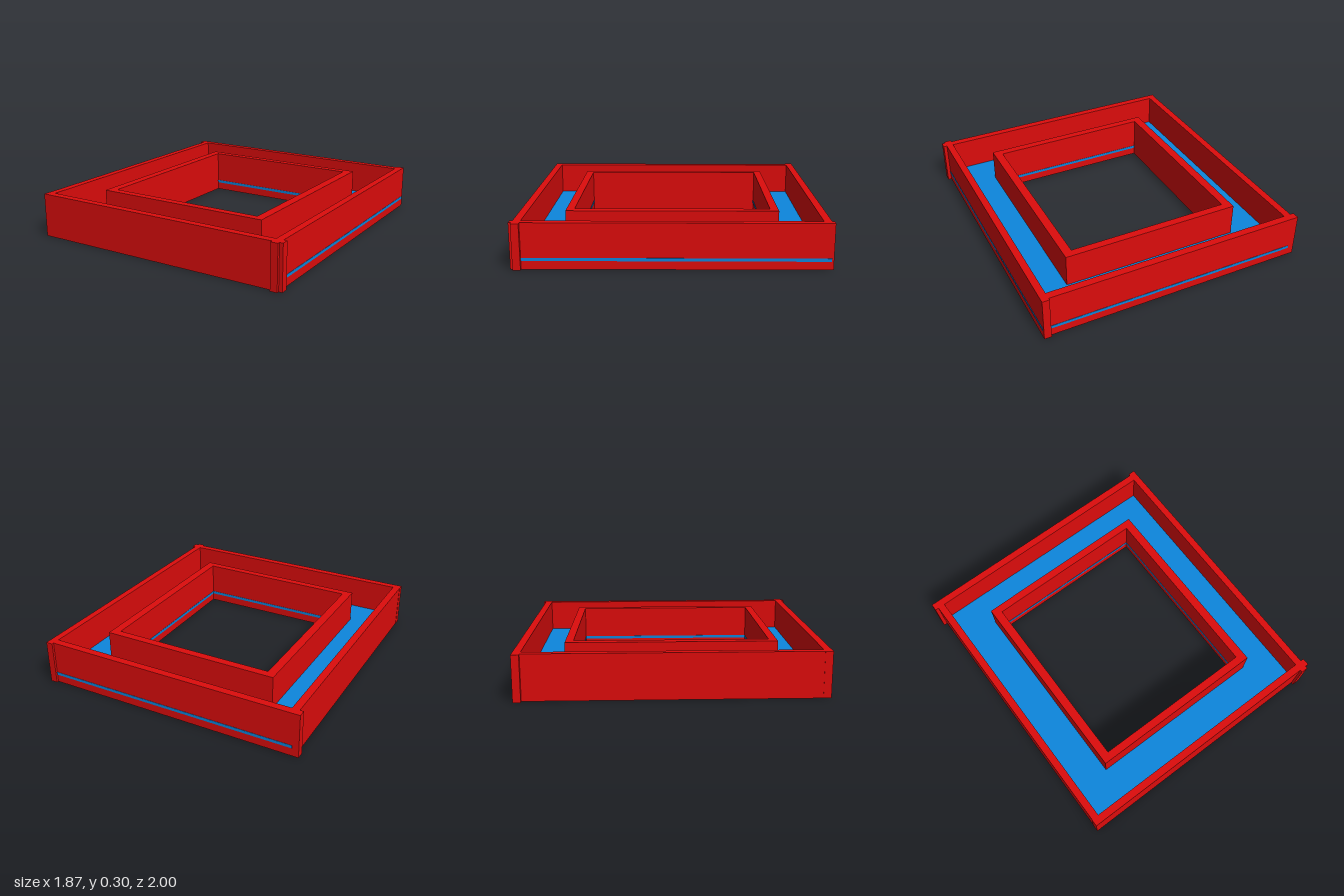
import * as THREE from 'three';

export function createModel() {
  const group = new THREE.Group();
  const red = new THREE.MeshStandardMaterial({ color: 0xdd0c0c });
  const blue = new THREE.MeshStandardMaterial({ color: 0x0d86dd });
  const height = 0.3;

  // Upright board given by its footprint on the ground
  function wall(name, x0, x1, z0, z1) {
    const mesh = new THREE.Mesh(new THREE.BoxGeometry(x1 - x0, height, z1 - z0), red);
    mesh.position.set((x0 + x1) / 2, height / 2, (z0 + z1) / 2);
    mesh.name = name;
    group.add(mesh);
  }

  // Outer frame, boards overshooting at the corners
  wall('outerBackWall', -0.935, 0.87, -0.985, -0.935);
  wall('outerFrontWall', -0.912, 0.932, 0.932, 0.982);
  wall('outerLeftWall', -0.91, -0.86, -0.935, 0.932);
  wall('outerRightWall', 0.86, 0.908, -1, 1);

  // Inner frame around the opening
  wall('innerLeftWall', -0.62, -0.56, -0.69, 0.69);
  wall('innerRightWall', 0.563, 0.623, -0.69, 0.69);
  wall('innerBackWall', -0.56, 0.563, -0.69, -0.637);
  wall('innerFrontWall', -0.56, 0.563, 0.637, 0.69);

  // Thin floor ring; its edges show as a strip through some of the walls
  const rect = (path, x0, x1, z0, z1) => path
    .moveTo(x0, -z1).lineTo(x1, -z1).lineTo(x1, -z0).lineTo(x0, -z0).closePath();
  const shape = new THREE.Shape();
  rect(shape, -0.89, 0.91, -0.987, 0.96);
  const hole = new THREE.Path();
  rect(hole, -0.59, 0.561, -0.635, 0.635);
  shape.holes.push(hole);
  const geometry = new THREE.ExtrudeGeometry(shape, { depth: 0.02, bevelEnabled: false });
  geometry.rotateX(-Math.PI / 2);
  const floor = new THREE.Mesh(geometry, blue);
  floor.position.y = 0.055;
  floor.name = 'floorPanel';
  group.add(floor);

  return group;
}
